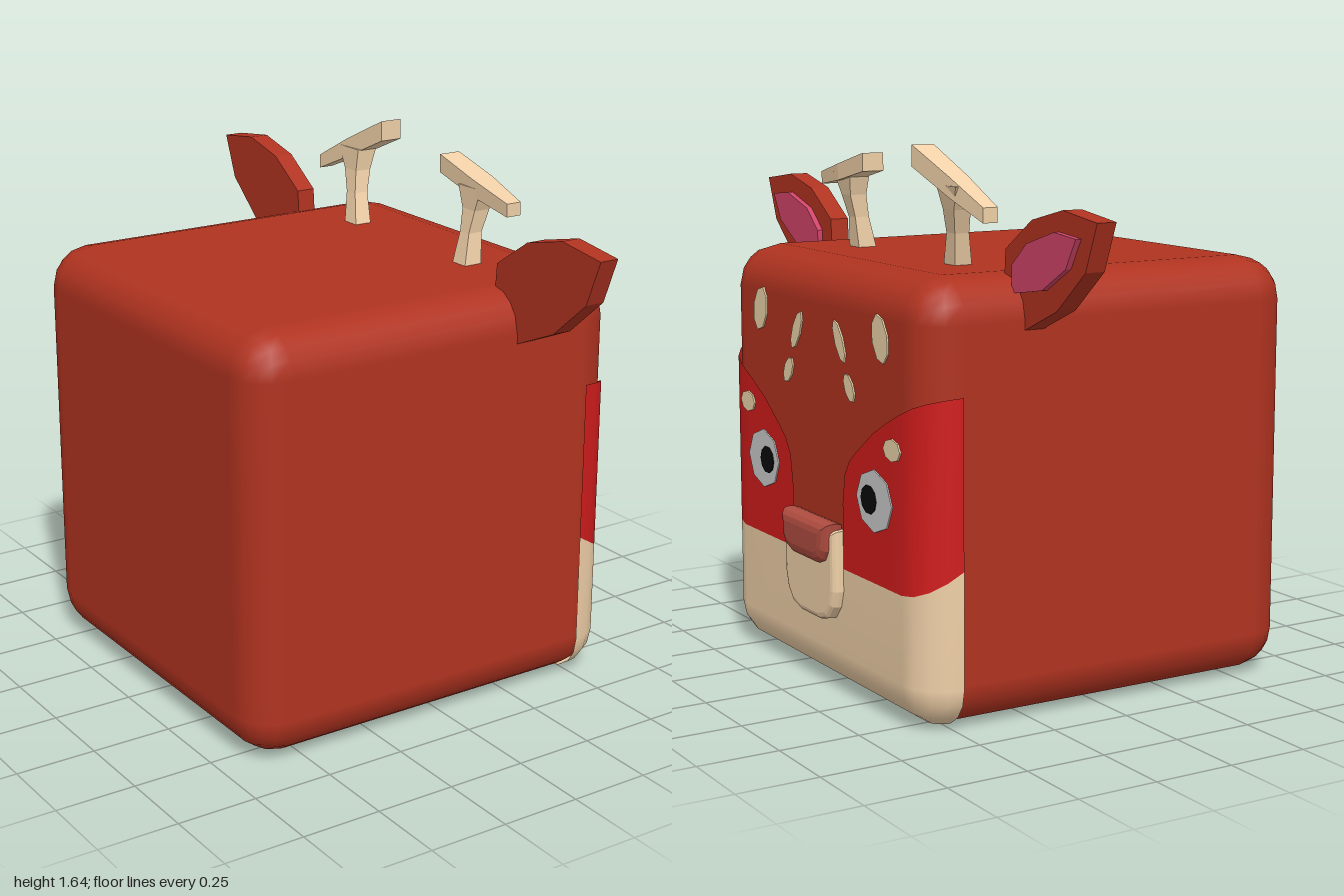
import * as THREE from 'three';
import { RoundedBoxGeometry } from 'three/addons/geometries/RoundedBoxGeometry.js';

const mat = (color, extra = {}) => new THREE.MeshStandardMaterial({ color, ...extra });
const FUR = 0xb03320, RED = 0xd01c1c, CREAM = 0xf0d0a8, PINK = 0xd04468, NOSE = 0xb04c40;

// Flat outline of [z, y] points pushed out along +x
function slab(points, x, depth, bevel = 0, bevelDepth = bevel) {
  const shape = new THREE.Shape(points.map(([z, y]) => new THREE.Vector2(-z, y)));
  const geo = new THREE.ExtrudeGeometry(shape, {
    depth, bevelEnabled: bevel > 0, bevelSize: bevel, bevelOffset: -bevel,
    bevelThickness: bevelDepth, bevelSegments: 3,
  });
  return geo.rotateY(Math.PI / 2).translate(x, 0, 0);
}

// Tilted oval outline, tilt measured from z towards y
function oval(z, y, rz, ry, tilt = 0, sides = 8) {
  return Array.from({ length: sides }, (_, i) => {
    const a = (i / sides) * Math.PI * 2;
    const u = rz * Math.cos(a), v = ry * Math.sin(a);
    return [z + u * Math.cos(tilt) - v * Math.sin(tilt), y + u * Math.sin(tilt) + v * Math.cos(tilt)];
  });
}

// Surface through a grid of points: columns run along +z, rows run up
function sheet(columns) {
  const rows = columns[0].length, index = [];
  for (let i = 0; i < columns.length - 1; i++) {
    for (let j = 0; j < rows - 1; j++) {
      const a = i * rows + j, b = a + rows;
      index.push(a, a + 1, b, b, a + 1, b + 1);
    }
  }
  const geo = new THREE.BufferGeometry();
  geo.setAttribute('position', new THREE.Float32BufferAttribute(columns.flat(2), 3));
  geo.setIndex(index);
  geo.computeVertexNormals();
  return geo;
}

// Four-sided beam through sections [x, y, z, halfWidthX, halfThickness]
function beam(sections, upright) {
  const pos = [], index = [];
  sections.forEach(([x, y, z, w, t]) => {
    for (const [a, b] of [[-1, -1], [1, -1], [1, 1], [-1, 1]]) {
      pos.push(x + a * w, y + (upright ? 0 : b * t), z + (upright ? -b * t : 0));
    }
  });
  const n = sections.length;
  for (let i = 0; i < n - 1; i++) {
    for (let k = 0; k < 4; k++) {
      const a = i * 4 + k, b = i * 4 + (k + 1) % 4;
      index.push(a, b, b + 4, a, b + 4, a + 4);
    }
  }
  const e = (n - 1) * 4;
  index.push(0, 2, 1, 0, 3, 2, e, e + 1, e + 2, e, e + 2, e + 3);
  const geo = new THREE.BufferGeometry();
  geo.setAttribute('position', new THREE.Float32BufferAttribute(pos, 3));
  geo.setIndex(index);
  geo.computeVertexNormals();
  return geo;
}

// Rounded front edge that the face markings follow
const R = 0.13, IX = 0.49, IY = 0.135, IZ = 0.52;
const arc = [22.5, 45, 67.5, 90].map((d) => [IZ, (d * Math.PI) / 180]);
const seamY = (a) => 0.4 + 0.08 * (1 - Math.cos(a));

export function createModel() {
  const model = new THREE.Group();
  const add = (name, geo, material) => {
    const mesh = new THREE.Mesh(geo, material);
    mesh.name = name;
    model.add(mesh);
    return mesh;
  };
  const fur = mat(FUR), furFlat = mat(FUR, { flatShading: true });
  const cream = mat(CREAM), creamFlat = mat(CREAM, { flatShading: true });
  const white = mat(0xcccccc), black = mat(0x0a0a0a);
  const pink = mat(PINK, { flatShading: true });
  const spotMat = mat(0xecd4a8);

  // Head block
  add('head', new RoundedBoxGeometry(1.29, 1.293, 1.29, 2, 0.13).translate(-0.035, 0.6585, 0), fur);

  // Cream jaw wrapping the lower front edges
  const jawColumns = [...arc.map(([z, a]) => [-z, -a]).reverse(),
    [-IZ, 0], [0, 0], [IZ, 0], ...arc];
  add('jaw', sheet(jawColumns.map(([z, a]) => {
    const column = [90, 67.5, 45, 22.5, 0].map((d) => {
      const b = (d * Math.PI) / 180;
      return [IX + R * Math.cos(b) * Math.cos(a), IY - R * Math.sin(b), z + R * Math.cos(b) * Math.sin(a)];
    });
    const last = column[4];
    column.push([last[0], seamY(a), last[2]]);
    return column;
  })), mat(CREAM, { side: THREE.DoubleSide }));

  // Muzzle and nose
  add('muzzle', slab([[0.165, 0.515], [0.165, 0.33], [0.15, 0.28], [0.115, 0.24], [0.06, 0.225],
    [-0.06, 0.225], [-0.115, 0.24], [-0.15, 0.28], [-0.165, 0.33], [-0.165, 0.515]],
  0.6, 0.035, 0.02), cream);
  add('nose', slab([[0.148, 0.535], [0.14, 0.45], [0.12, 0.42], [0.08, 0.405],
    [-0.08, 0.405], [-0.12, 0.42], [-0.14, 0.45], [-0.148, 0.535]],
  0.63, 0.02, 0.035, 0.03), mat(NOSE));

  const cheekTop = [[0.165, 0.6], [0.18, 0.69], [0.21, 0.735], [0.25, 0.767], [0.355, 0.84],
    [0.44, 0.885], [IZ, 0.922]];
  const cheekArcTop = [0.945, 0.962, 0.972, 0.976];
  const ear = [[1, 1.478], [0.833, 1.5], [0.677, 1.462], [0.54, 1.37], [0.53, 1.24],
    [0.645, 1.15], [0.806, 1.22], [0.946, 1.34]];
  const earInner = [[0.925, 1.43], [0.817, 1.44], [0.677, 1.397], [0.6, 1.33], [0.6, 1.25],
    [0.757, 1.274], [0.876, 1.344]];
  // Spots: z, y, half width, half height, tilt, x
  const spots = [
    [0.392, 1.118, 0.046, 0.072, 0.3, 0.608], [0.14, 1.08, 0.025, 0.068, 0.5, 0.608],
    [0.2, 0.95, 0.026, 0.046, 0.6, 0.608], [0.475, 0.812, 0.05, 0.033, 0, 0.618],
  ];
  const redMat = mat(RED, { side: THREE.DoubleSide });

  for (const s of [1, -1]) {
    const side = s > 0 ? 'left' : 'right';
    const flip = (pts) => pts.map(([z, y]) => [s * z, y]);

    // Red cheek patch, bending round the front edge
    const cheek = cheekTop.map(([z, y]) => [[IX + R, 0.4, s * z], [IX + R, y, s * z]]);
    arc.forEach(([z, a], i) => {
      const x = IX + R * Math.cos(a), zz = s * (z + R * Math.sin(a));
      cheek.push([[x, seamY(a), zz], [x, cheekArcTop[i], zz]]);
    });
    add(side + 'Cheek', sheet(s > 0 ? cheek : cheek.reverse()), redMat);

    // Eye and pupil
    add(side + 'Eye', slab(flip(oval(0.366, 0.645, 0.107, 0.093)), 0.615, 0.009), white);
    add(side + 'Pupil', slab(flip(oval(0.337, 0.645, 0.046, 0.043, 0, 10)), 0.618, 0.009), black);

    // Forehead and cheek spots
    spots.forEach(([z, y, rz, ry, tilt, x], i) =>
      add(side + 'Spot' + (i + 1), slab(flip(oval(z, y, rz, ry, tilt)), x, 0.007), spotMat));

    // Ear with pink lining
    add(side + 'Ear', slab(flip(ear), 0.225, 0.062), furFlat);
    add(side + 'EarLining', slab(flip(earInner), 0.28, 0.025), pink);
  }

  // Antlers: a leaning stem and a crossbar each, differently tilted
  const antlers = {
    left: {
      stem: [[0.295, 1.28, 0.297, 0.032, 0.034], [0.315, 1.4, 0.292, 0.024, 0.022],
        [0.33, 1.47, 0.295, 0.028, 0.03], [0.335, 1.54, 0.3, 0.035, 0.055]],
      bar: [[0.35, 1.58, 0.13, 0.036, 0.028], [0.34, 1.54, 0.31, 0.038, 0.026],
        [0.313, 1.51, 0.5, 0.025, 0.02]],
    },
    right: {
      stem: [[0.3, 1.28, -0.295, 0.03, 0.034], [0.32, 1.4, -0.33, 0.024, 0.024],
        [0.335, 1.47, -0.35, 0.028, 0.032], [0.345, 1.54, -0.365, 0.035, 0.055]],
      bar: [[0.328, 1.465, -0.525, 0.024, 0.022], [0.345, 1.535, -0.38, 0.032, 0.03],
        [0.365, 1.618, -0.205, 0.037, 0.032]],
    },
  };
  for (const [side, { stem, bar }] of Object.entries(antlers)) {
    add(side + 'AntlerStem', beam(stem, true), creamFlat);
    add(side + 'AntlerBar', beam(bar, false), creamFlat);
  }
  return model;
}
